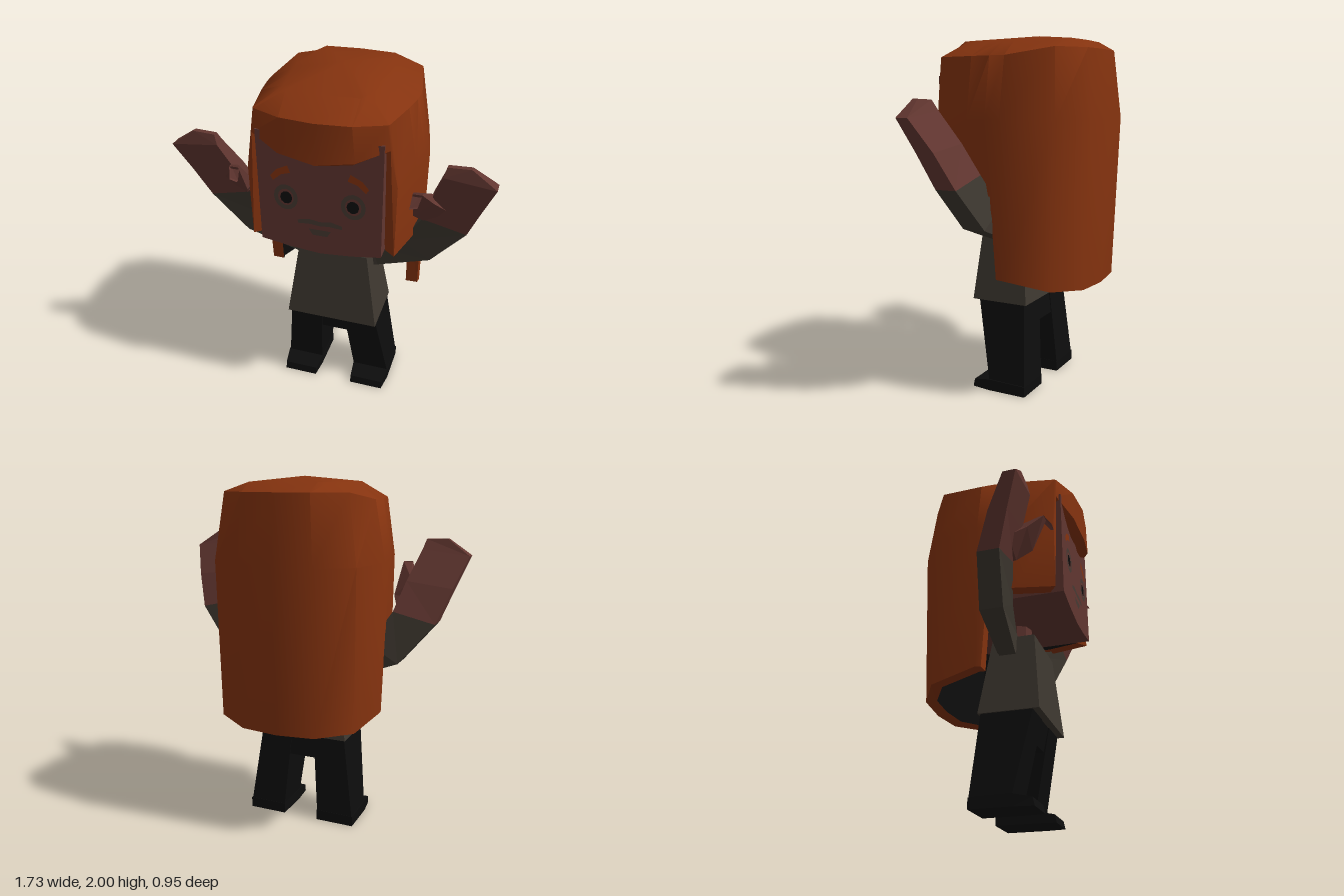
import * as THREE from 'three';
import { toCreasedNormals } from 'three/addons/utils/BufferGeometryUtils.js';

const mat = (name, color, extra = {}) => {
  const m = new THREE.MeshStandardMaterial({ color, ...extra });
  m.name = name;
  return m;
};

// Flat-sided solid through four-cornered cross-sections, turned outward by its signed volume
function loft(sections) {
  const tris = [];
  const quad = (a, b, c, d) => tris.push([a, b, c], [a, c, d]);
  for (let s = 0; s < sections.length - 1; s++) {
    for (let i = 0; i < 4; i++) {
      const j = (i + 1) % 4;
      quad(sections[s][i], sections[s][j], sections[s + 1][j], sections[s + 1][i]);
    }
  }
  const first = sections[0], last = sections[sections.length - 1];
  quad(first[3], first[2], first[1], first[0]);
  quad(last[0], last[1], last[2], last[3]);
  const v = (p) => new THREE.Vector3(...p);
  const volume = tris.reduce((sum, [a, b, c]) => sum + v(a).dot(v(b).cross(v(c))), 0);
  if (volume < 0) tris.forEach((t) => t.reverse());
  return fromTris(tris);
}

function fromTris(tris) {
  const geo = new THREE.BufferGeometry();
  geo.setAttribute('position', new THREE.Float32BufferAttribute(tris.flat(2), 3));
  geo.computeVertexNormals();
  return geo;
}

// Horizontal section: x range, z range at height y
const level = (y, x0, x1, z0, z1) => [[x0, y, z0], [x1, y, z0], [x1, y, z1], [x0, y, z1]];
// Limb section: outer and inner edge in the xy plane, spanning z0 to z1
const limb = ([ox, oy], [ix, iy], z0, z1) => [[ox, oy, z1], [ox, oy, z0], [ix, iy, z0], [ix, iy, z1]];
const mirrorX = (sections, s) => sections.map((sec) => sec.map(([x, y, z]) => [x * s, y, z]));

// Hair: columns run round the head, each with its own hem height
function buildHair() {
  // x, z, hem height, inner hem height; repeated places make vertical steps in the hem
  const half = [
    [0, 0.47, 1.66, 1.63], [0.21, 0.45, 1.69, 1.65], [0.385, 0.385, 1.75, 1.69],
    [0.395, 0.375, 1.14, 1.14], [0.445, 0.16, 1.14, 1.14], [0.465, 0.04, 1.15, 1.15],
    [0.465, 0.04, 0.7, 0.7], [0.47, -0.05, 0.7, 0.7], [0.41, -0.34, 0.655, 0.66],
    [0.22, -0.46, 0.635, 0.65], [0, -0.48, 0.63, 0.65],
  ];
  const cols = [...half, ...half.slice(1, -1).reverse().map(([x, ...r]) => [-x, ...r])];
  const place = ([x, z], y) => {
    const t = Math.max(0, (1.55 - y) / 0.9);
    const u = THREE.MathUtils.clamp((y - 1.55) / 0.33, 0, 1);
    const back = z < -0.1 ? 1 - 0.08 * t - 0.08 * u : 1;
    const slant = Math.abs(z) < 0.1 && z > 0 ? 0.06 * t : 0;
    return [x * (1 - 0.02 * t - 0.13 * u), y, z * back - slant];
  };
  const outer = cols.map((c) => [
    place(c, c[2]),
    place(c, Math.max(c[2], 1.55)),
    place(c, c[1] < -0.1 ? 1.92 : 1.88),
    [c[0] * 0.52 * 1.9 * 0.9 * (c[1] > 0.4 || c[1] < -0.4 ? 1 : 0.62), 1.97, c[1] * 0.72],
    [0, 2, -0.05],
  ]);
  const inset = ([x, y, z], h) => [x * 0.85, h ?? y, z * 0.88];
  const inner = cols.map((c) => [
    inset(place(c, c[2]), c[3]), inset(place(c, Math.max(c[2], 1.55))), inset(place(c, 1.8)),
  ]);
  const shell = [], lining = [], rim = [];
  const same = (p, q) => p.every((n, i) => Math.abs(n - q[i]) < 1e-6);
  const quad = (list, a, b, c, d) => {
    for (const t of [[a, b, c], [a, c, d]]) {
      if (!same(t[0], t[1]) && !same(t[1], t[2]) && !same(t[0], t[2])) list.push(t);
    }
  };
  cols.forEach((_, i) => {
    const k = (i + 1) % cols.length;
    for (let r = 0; r < 4; r++) quad(shell, outer[i][r], outer[k][r], outer[k][r + 1], outer[i][r + 1]);
    for (let r = 0; r < 2; r++) quad(lining, inner[k][r], inner[i][r], inner[i][r + 1], inner[k][r + 1]);
    quad(rim, inner[i][0], inner[k][0], outer[k][0], outer[i][0]);
  });
  return [toCreasedNormals(fromTris(shell), 0.85), fromTris(lining), fromTris(rim)];
}

export function createModel() {
  const model = new THREE.Group();
  model.name = 'figure';
  const hair = mat('hair orange', 0x85330f);
  const skin = mat('skin brown', 0x613630);
  const shirt = mat('shirt grey brown', 0x3e3830);
  const black = mat('black', 0x0d0d0d);
  const feature = mat('face marking', 0x473a33);

  const add = (name, geo, material, parent = model) => {
    const mesh = new THREE.Mesh(geo, material);
    mesh.name = name;
    parent.add(mesh);
    return mesh;
  };
  const shape = (pts) => new THREE.Shape(pts.map(([x, y]) => new THREE.Vector2(x, y)));

  // Hair
  const [shell, lining, rim] = buildHair();
  add('hairShell', shell, hair);
  add('hairLining', lining, black);
  add('hairRim', rim, hair);

  // Head and neck
  const headShape = shape([[-0.33, 1.14], [-0.17, 1.115], [0, 1.1], [0.17, 1.115], [0.33, 1.14], [0.33, 1.78], [-0.33, 1.78]]);
  const headGeo = new THREE.ExtrudeGeometry(headShape, { depth: 0.66, bevelEnabled: false });
  headGeo.translate(0, 0, -0.255);
  add('head', headGeo, skin);
  const neck = new THREE.CylinderGeometry(0.07, 0.07, 0.16, 8).toNonIndexed();
  neck.computeVertexNormals();
  add('neck', neck, skin).position.set(0, 1.06, 0.06);

  // Face details
  const face = new THREE.Group();
  face.name = 'face';
  face.position.z = 0.409;
  model.add(face);
  for (const s of [1, -1]) {
    const side = s > 0 ? 'left' : 'right';
    const ring = add(side + 'EyeRing', new THREE.RingGeometry(0.043, 0.065, 16), feature, face);
    ring.position.set(s * 0.18, 1.42, 0);
    ring.scale.y = 1.13;
    const pupil = add(side + 'Pupil', new THREE.CircleGeometry(0.033, 10), black, face);
    pupil.position.set(s * 0.178, 1.418, 0);
    pupil.scale.y = 1.1;
    const brow = [[0.26, 1.535], [0.225, 1.575], [0.165, 1.605], [0.15, 1.565], [0.2, 1.55], [0.245, 1.51]];
    add(side + 'Brow', new THREE.ShapeGeometry(shape(brow.map(([x, y]) => [x * s, y]))), hair, face);
  }
  add('upperLip', new THREE.ShapeGeometry(shape([
    [-0.12, 1.275], [-0.05, 1.28], [0, 1.275], [0.05, 1.28], [0.12, 1.275],
    [0.12, 1.295], [0.06, 1.31], [0, 1.3], [-0.06, 1.31], [-0.12, 1.295],
  ])), feature, face);
  add('lowerLip', new THREE.ShapeGeometry(shape([
    [-0.04, 1.215], [0.04, 1.215], [0.06, 1.25], [-0.06, 1.25],
  ])), feature, face);

  // Shirt
  add('shirtBody', loft([
    level(0.515, -0.27, 0.27, -0.1, 0.24),
    level(0.97, -0.2, 0.2, -0.04, 0.2),
    level(1.02, -0.09, 0.09, 0, 0.13),
  ]), shirt);

  // Trousers, shoes and arms
  add('hips', loft([level(0.38, -0.25, 0.25, -0.09, 0.165), level(0.525, -0.255, 0.255, -0.08, 0.2)]), black);
  const leg = [level(0.02, 0.11, 0.33, -0.12, 0.1), level(0.52, 0.07, 0.26, -0.085, 0.203)];
  const shoe = [
    [[0.105, 0, -0.12], [0.33, 0, -0.12], [0.33, 0.06, -0.12], [0.105, 0.06, -0.12]],
    [[0.105, 0, 0.11], [0.33, 0, 0.11], [0.33, 0.065, 0.11], [0.105, 0.065, 0.11]],
    [[0.115, 0, 0.22], [0.315, 0, 0.22], [0.315, 0.045, 0.21], [0.115, 0.045, 0.21]],
  ];
  const wrist = limb([0.73, 1.21], [0.49, 1.265], 0.05, 0.17);
  const sleeve = [
    limb([0.2, 0.855], [0.17, 0.98], 0.01, 0.1),
    limb([0.24, 0.865], [0.2, 0.985], 0, 0.1),
    limb([0.54, 0.98], [0.37, 1.08], 0, 0.13),
    wrist,
  ];
  const hand = [
    wrist,
    limb([0.8, 1.4], [0.54, 1.43], 0.13, 0.235),
    limb([0.865, 1.57], [0.6, 1.6], 0.23, 0.3),
    limb([0.735, 1.66], [0.615, 1.655], 0.26, 0.29),
  ];
  const thumb = [
    limb([0.64, 1.34], [0.5, 1.27], 0.1, 0.19),
    limb([0.56, 1.43], [0.46, 1.34], 0.17, 0.27),
    limb([0.515, 1.515], [0.465, 1.515], 0.33, 0.35),
    limb([0.5, 1.46], [0.46, 1.45], 0.375, 0.39),
  ];
  for (const s of [1, -1]) {
    const side = s > 0 ? 'left' : 'right';
    add(side + 'Leg', loft(mirrorX(leg, s)), black);
    add(side + 'Shoe', loft(mirrorX(shoe, s)), black);
    add(side + 'Sleeve', loft(mirrorX(sleeve, s)), shirt);
    add(side + 'Hand', loft(mirrorX(hand, s)), skin);
    add(side + 'Thumb', loft(mirrorX(thumb, s)), skin);
  }
  return model;
}
